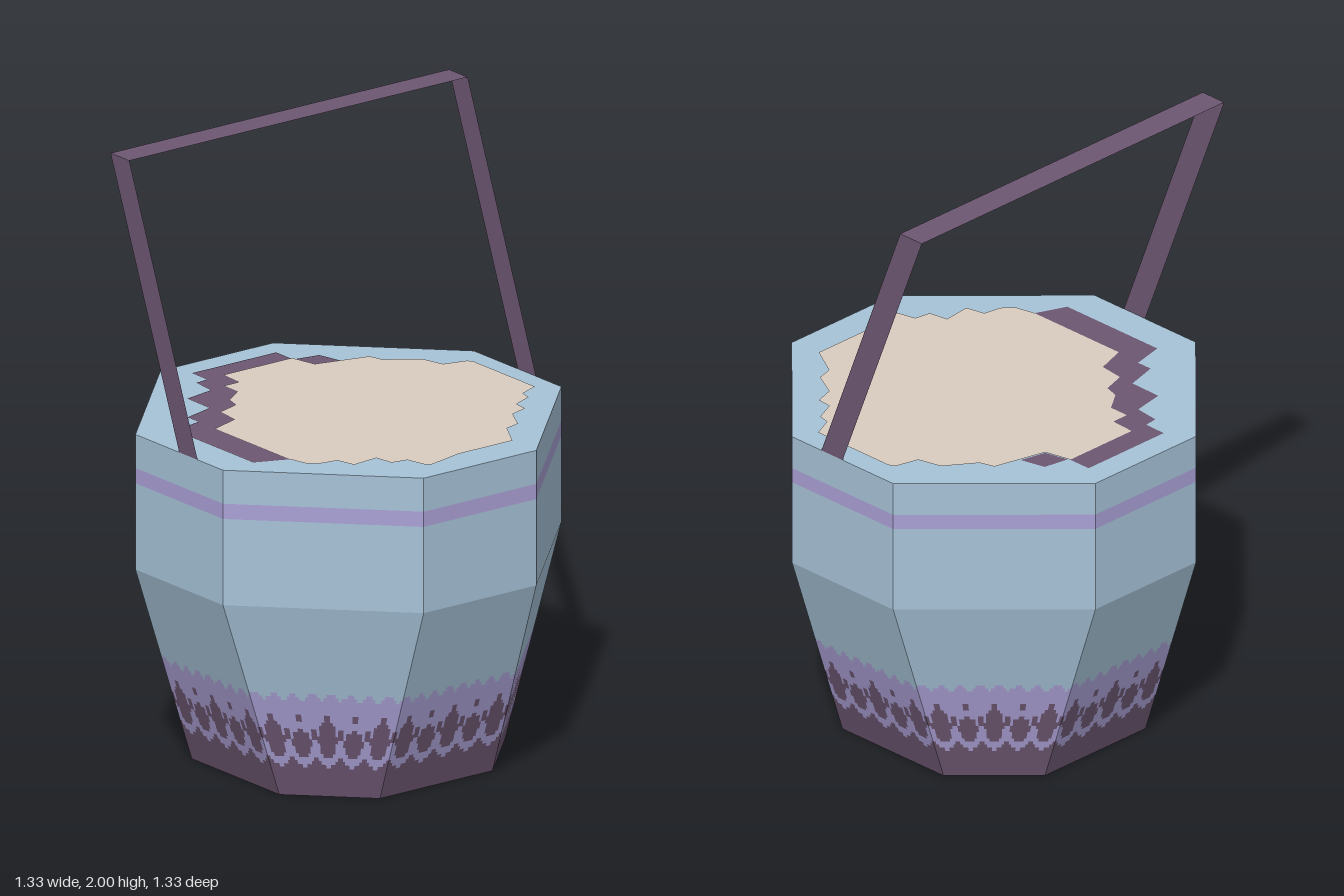
import * as THREE from 'three';

const HALF_TOP = 0.667, HALF_BASE = 0.445, CORNER = 0.222, SHOULDER = 0.667, RIM = 1.11;

const paint = (name, color, side = THREE.FrontSide) => {
  const m = new THREE.MeshStandardMaterial({ color, side });
  m.name = name;
  return m;
};

// Eight corners of the bucket's cross-section at a height
function ring(y) {
  const h = HALF_BASE + (HALF_TOP - HALF_BASE) * Math.min(y / SHOULDER, 1), c = CORNER;
  return [[-c, h], [c, h], [h, c], [h, -c], [c, -h], [-c, -h], [-h, -c], [-h, c]]
    .map(([x, z]) => new THREE.Vector3(x, y, z));
}

// Flat-shaded mesh from a list of corner-ordered quads
function quadMesh(name, quads, material) {
  const pos = [];
  for (const [a, b, c, d] of quads) for (const p of [a, b, c, a, c, d]) pos.push(p.x, p.y, p.z);
  const g = new THREE.BufferGeometry();
  g.setAttribute('position', new THREE.Float32BufferAttribute(pos, 3));
  g.computeVertexNormals();
  const mesh = new THREE.Mesh(g, material);
  mesh.name = name;
  return mesh;
}

// Horizontal flat outline given as [x, z] points
function flatMesh(name, points, y, material, faceDown = false) {
  const shape = new THREE.Shape(points.map(([x, z]) => new THREE.Vector2(x, faceDown ? z : -z)));
  const g = new THREE.ShapeGeometry(shape);
  g.rotateX(faceDown ? Math.PI / 2 : -Math.PI / 2);
  const mesh = new THREE.Mesh(g, material);
  mesh.name = name;
  mesh.position.y = y;
  return mesh;
}

// Lacy border near the base: which colour lies at panel position u, height y
function borderColour(u, y) {
  const t = u * 5, f = t - Math.floor(t), cell = Math.floor(t);
  const tri = Math.abs(f - 0.5) * 2;
  if (y > 0.352 + 0.012 * Math.sin(u * Math.PI * 16)) return 'blue';
  if (y < 0.095 + 0.045 * tri) return 'plum';
  const blobY = cell % 2 ? 0.185 : 0.2, blobH = cell % 2 ? 0.05 : 0.062;
  if (((f - 0.5) / 0.36) ** 2 + ((y - blobY) / blobH) ** 2 < 1) return 'plum';
  if (Math.abs(y - 0.275) < 0.012 && Math.abs(f - 0.5) < 0.12) return 'plum';
  if (tri > 0.8 && y > 0.2 && y < 0.24) return 'plum';
  return 'lilac';
}

export function createModel() {
  const model = new THREE.Group();
  const mats = {
    blue: paint('pale blue', 0xa6c2d7),
    lilac: paint('lilac', 0xa99fd4),
    plum: paint('plum', 0x6d5772),
    tan: paint('sand', 0xdacdc0),
  };
  const handlePlum = paint('handle plum', 0x6d5772, THREE.DoubleSide);

  // Bucket walls, sorted into quads by colour
  const quads = { blue: [], lilac: [], plum: [] };
  const patch = (colour, panel, u0, u1, y0, y1) => {
    const lo = ring(y0), hi = ring(y1), next = (panel + 1) % 8;
    const at = (r, u) => r[panel].clone().lerp(r[next], u);
    quads[colour].push([at(lo, u0), at(lo, u1), at(hi, u1), at(hi, u0)]);
  };
  const COLS = 50, ROWS = 30, BORDER_TOP = 0.375;
  for (let panel = 0; panel < 8; panel++) {
    // Patterned border, merged into runs of one colour
    for (let r = 0; r < ROWS; r++) {
      const y0 = r * BORDER_TOP / ROWS, y1 = (r + 1) * BORDER_TOP / ROWS;
      const colourAt = i => borderColour((i + 0.5) / COLS, (y0 + y1) / 2);
      for (let start = 0, i = 1; i <= COLS; i++) {
        if (i === COLS || colourAt(i) !== colourAt(start)) {
          patch(colourAt(start), panel, start / COLS, i / COLS, y0, y1);
          start = i;
        }
      }
    }
    // Plain wall and the stripe under the rim
    patch('blue', panel, 0, 1, BORDER_TOP, SHOULDER);
    patch('blue', panel, 0, 1, SHOULDER, 0.95);
    patch('lilac', panel, 0, 1, 0.95, 1.0);
    patch('blue', panel, 0, 1, 1.0, RIM);
  }
  const bucket = new THREE.Group();
  bucket.name = 'bucket';
  bucket.add(
    quadMesh('bucketWall', quads.blue, mats.blue),
    quadMesh('lilacBands', quads.lilac, mats.lilac),
    quadMesh('baseBorder', quads.plum, mats.plum),
    flatMesh('bucketBase', ring(0).map(p => [p.x, p.z]), 0, mats.plum, true),
    flatMesh('bucketRim', ring(RIM).map(p => [p.x, p.z]), RIM, mats.blue),
  );

  // Ragged sand-coloured filling with a shadow edge along one side
  const filling = [
    [-0.13, -0.595], [0.18, -0.595], [0.21, -0.525], [0.25, -0.515], [0.28, -0.445], [0.33, -0.44],
    [0.35, -0.375], [0.435, -0.33], [0.45, -0.275], [0.555, -0.215], [0.555, 0], [0.585, 0.125],
    [0.57, 0.145], [0.505, 0.16], [0.495, 0.215], [0.43, 0.225], [0.44, 0.32], [0.375, 0.335],
    [0.365, 0.395], [0.335, 0.43], [0.27, 0.445], [-0.105, 0.445], [-0.14, 0.34], [-0.225, 0.33],
    [-0.25, 0.25], [-0.3, 0.235], [-0.35, 0.165], [-0.42, 0.165], [-0.42, 0.105], [-0.505, 0.1],
    [-0.505, -0.17], [-0.415, -0.19], [-0.37, -0.37], [-0.32, -0.385], [-0.25, -0.485],
    [-0.17, -0.505], [-0.15, -0.585],
  ];
  const edge = [
    [-0.583, -0.168], [-0.45, -0.168], [-0.45, 0.05], [-0.2, 0.2], [-0.1, 0.4], [0.27, 0.44],
    [0.225, 0.55], [-0.17, 0.55], [-0.195, 0.44], [-0.25, 0.44], [-0.28, 0.33], [-0.395, 0.328],
    [-0.415, 0.22], [-0.5, 0.21], [-0.505, 0.165], [-0.583, 0.163],
  ];
  const fleck = [[-0.48, -0.258], [-0.395, -0.278], [-0.415, -0.19], [-0.495, -0.172]];
  bucket.add(
    flatMesh('fillingEdge', edge, RIM + 0.002, mats.plum),
    flatMesh('fillingFleck', fleck, RIM + 0.002, mats.plum),
    flatMesh('filling', filling, RIM + 0.004, mats.tan),
  );
  model.add(bucket);

  // Tilted handle of flat strips: two posts and a grip
  const v = (x, y, z) => new THREE.Vector3(x, y, z);
  const handle = new THREE.Group();
  handle.name = 'handle';
  const z = HALF_TOP;
  handle.add(
    quadMesh('frontPost', [[v(0, RIM, z), v(0.093, RIM, z), v(-0.253, 2, z), v(-0.348, 2, z)]], handlePlum),
    quadMesh('backPost', [[v(0.093, RIM, -z), v(0, RIM, -z), v(-0.348, 2, -z), v(-0.253, 2, -z)]], handlePlum),
    quadMesh('grip', [[v(-0.348, 2, z), v(-0.253, 2, z), v(-0.253, 2, -z), v(-0.348, 2, -z)]], handlePlum),
  );
  model.add(handle);
  return model;
}
